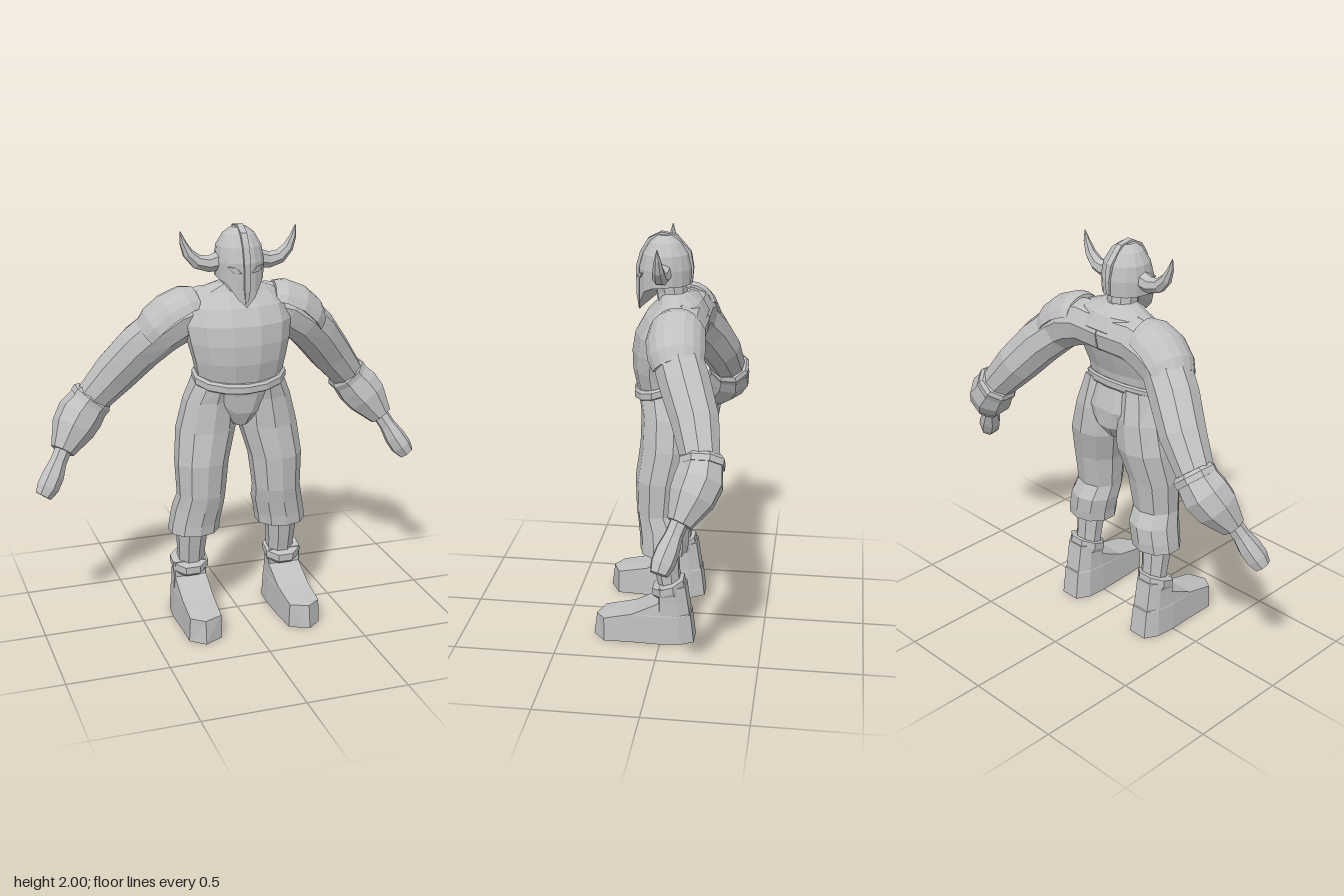
import * as THREE from 'three';

const V = (x, y, z) => new THREE.Vector3(x, y, z);
const grey = new THREE.MeshStandardMaterial({ color: 0xc0c0c0, flatShading: true, side: THREE.DoubleSide });
grey.name = 'plain grey';

// Skin a list of equal-length rings, cap both ends, and face everything outward
function loft(rings, side = 1) {
  const tris = [];
  const n = rings[0].length;
  const centre = r => r.reduce((s, p) => s.add(p), V(0, 0, 0)).divideScalar(n);
  for (let j = 0; j < rings.length - 1; j++) {
    for (let i = 0; i < n; i++) {
      const k = (i + 1) % n, a = rings[j], b = rings[j + 1];
      tris.push([a[i], b[i], b[k]], [a[i], b[k], a[k]]);
    }
  }
  const first = rings[0], last = rings[rings.length - 1];
  const c0 = centre(first), c1 = centre(last);
  for (let i = 0; i < n; i++) {
    const k = (i + 1) % n;
    tris.push([c0, first[i], first[k]], [c1, last[k], last[i]]);
  }
  const volume = tris.reduce((s, [a, b, c]) => s + a.dot(b.clone().cross(c)), 0);
  const flip = volume * side < 0;
  const pos = [];
  for (const [a, b, c] of tris)
    for (const p of flip ? [a, c, b] : [a, b, c]) pos.push(p.x * side, p.y, p.z);
  const g = new THREE.BufferGeometry();
  g.setAttribute('position', new THREE.Float32BufferAttribute(pos, 3));
  g.computeVertexNormals();
  return g;
}

// Horizontal oval section: height, left and right x, front and back z, slope of y along z
function oval([y, x0, x1, zf, zb, slope = 0], n) {
  return Array.from({ length: n }, (_, i) => {
    const a = ((i + 0.5) / n) * Math.PI * 2;
    const dz = Math.sin(a) * (zf - zb) / 2;
    return V((x0 + x1) / 2 + Math.cos(a) * (x1 - x0) / 2, y + slope * dz, (zf + zb) / 2 + dz);
  });
}
const column = (rows, n, side) => loft(rows.map(r => oval(r, n)), side);
const centred = (rows, n) => column(rows.map(([y, w, ...rest]) => [y, -w, w, ...rest]), n);

// Rings square to a path of [x, y, z, radius]; half gives a D section covering the upper side
function limb(path, n, side = 1, ref = V(0, 0, 1), half = 0) {
  const pts = path.map(p => V(p[0], p[1], p[2]));
  return loft(path.map((p, j) => {
    const t = pts[Math.min(j + 1, pts.length - 1)].clone().sub(pts[Math.max(j - 1, 0)]).normalize();
    const u = t.clone().cross(ref).normalize(), v = u.clone().cross(t);
    return Array.from({ length: n }, (_, i) => {
      const a = half ? Math.PI - half + (2 * half * i) / (n - 1) : ((i + 0.5) / n) * Math.PI * 2;
      return pts[j].clone().addScaledVector(u, Math.cos(a) * p[3]).addScaledVector(v, Math.sin(a) * p[3]);
    });
  }), side);
}

// Boot: a pointed plan outline raised to a stepped instep and an ankle shaft
function boot(side) {
  const plan = [[0.02, 0.34], [-0.075, 0.29], [-0.085, 0.14], [-0.09, 0], [-0.085, -0.1], [-0.05, -0.165],
    [0.05, -0.165], [0.085, -0.1], [0.095, 0], [0.09, 0.14], [0.09, 0.28]];
  const ring = (y, zMax, s, lift = 0) => plan.map(([x, z]) => V(
    0.25 + x * s, y + lift * Math.max(0, Math.min(1, (0.32 - z) / 0.32)),
    z > 0 ? Math.min(z, zMax) : z * (1 - y * 0.9)));
  return loft([ring(0, 1, 1), ring(0.118, 0.325, 0.94, 0.03), ring(0.152, 0.14, 0.92),
    ring(0.22, 0.005, 0.9), ring(0.3, 0.005, 0.9)], side);
}

export function createModel() {
  const model = new THREE.Group();
  const add = (name, geometry) => {
    const m = new THREE.Mesh(geometry, grey);
    m.name = name;
    model.add(m);
    return m;
  };

  // Trunk
  add('torso', centred([
    [1.27, 0.215, 0.145, -0.11, -0.3], [1.36, 0.235, 0.168, -0.12, -0.1], [1.44, 0.255, 0.17, -0.145],
    [1.53, 0.27, 0.155, -0.175], [1.61, 0.26, 0.11, -0.195], [1.675, 0.2, 0.045, -0.16],
    [1.715, 0.09, 0.03, -0.1]], 12));
  add('neck', centred([[1.66, 0.085, 0.05, -0.1], [1.72, 0.075, 0.06, -0.09], [1.8, 0.08, 0.08, -0.08]], 10));
  add('belt', centred([
    [1.245, 0.225, 0.155, -0.12, -0.33], [1.255, 0.235, 0.165, -0.13, -0.33],
    [1.285, 0.235, 0.165, -0.13, -0.33], [1.295, 0.222, 0.155, -0.12, -0.33]], 14));
  add('hips', centred([
    [1.02, 0.045, 0.085, -0.1], [1.09, 0.14, 0.116, -0.15], [1.18, 0.232, 0.125, -0.152],
    [1.27, 0.215, 0.138, -0.115, -0.33]], 12));

  // Helmet: the front edge drops to a point below the nose
  const helmetRows = [[0, 0.115, 0.142, -0.11], [1.83, 0.118, 0.142, -0.113], [1.9, 0.108, 0.122, -0.098],
    [1.955, 0.076, 0.088, -0.062], [1.985, 0.035, 0.05, -0.02]];
  add('helmet', loft(helmetRows.map(([y, w, zf, zb]) => Array.from({ length: 16 }, (_, i) => {
    const a = (i / 16) * Math.PI * 2, f = Math.max(0, Math.sin(a));
    return V(Math.cos(a) * w, y || 1.755 - 0.02 * f - 0.115 * f ** 6, (zf + zb) / 2 + Math.sin(a) * (zf - zb) / 2);
  }))));
  add('helmetCrest', limb([
    [0, 1.625, 0.138, 0.006], [0, 1.7, 0.139, 0.018], [0, 1.83, 0.138, 0.022], [0, 1.9, 0.118, 0.022],
    [0, 1.955, 0.085, 0.022], [0, 1.983, 0.03, 0.022], [0, 1.973, -0.03, 0.022], [0, 1.9, -0.094, 0.022],
    [0, 1.83, -0.108, 0.018], [0, 1.76, -0.105, 0.014]], 4, 1, V(1, 0, 0)));

  for (const [side, label] of [[1, 'left'], [-1, 'right']]) {
    const part = (name, geometry) => add(label + name, geometry);

    // Slanted eye plate
    const eyeShape = new THREE.Shape([[-0.034, -0.014], [0.004, -0.012], [0.034, 0.016], [-0.006, 0.012]]
      .map(([x, y]) => new THREE.Vector2(x * side, y)));
    const eye = part('Eye', new THREE.ExtrudeGeometry(eyeShape, { depth: 0.008, bevelEnabled: false }));
    eye.position.set(0.054 * side, 1.8, 0.124);
    eye.rotation.y = 0.48 * side;

    // Horn
    part('Horn', limb([[0.09, 1.828, 0.015, 0.046], [0.15, 1.815, 0.015, 0.04], [0.205, 1.828, 0.015, 0.035],
      [0.248, 1.87, 0.015, 0.027], [0.273, 1.925, 0.015, 0.016], [0.284, 1.975, 0.015, 0.002]], 7, side));

    // Arm running on from the shoulder yoke, then shoulder plate, bracer and hand
    part('Arm', limb([[0, 1.57, -0.09, 0.11], [0.16, 1.575, -0.085, 0.115], [0.27, 1.545, -0.08, 0.125],
      [0.36, 1.485, -0.09, 0.118], [0.45, 1.4, -0.135, 0.118], [0.56, 1.268, -0.195, 0.11],
      [0.68, 1.125, -0.235, 0.088]], 9, side));
    part('ShoulderPlate', limb([[0.19, 1.575, -0.075, 0.118], [0.22, 1.57, -0.072, 0.134],
      [0.29, 1.535, -0.072, 0.142], [0.35, 1.485, -0.085, 0.138], [0.385, 1.447, -0.098, 0.122]], 9, side,
    V(0, 0, 1), 1.3));
    part('BracerRim', limb([[0.66, 1.145, -0.24, 0.094], [0.672, 1.13, -0.24, 0.108],
      [0.692, 1.107, -0.24, 0.106]], 8, side));
    part('Bracer', limb([[0.675, 1.125, -0.24, 0.098], [0.735, 1.055, -0.232, 0.116],
      [0.78, 0.995, -0.205, 0.108], [0.845, 0.9, -0.16, 0.06]], 8, side));
    part('Hand', limb([[0.84, 0.91, -0.16, 0.042], [0.872, 0.855, -0.138, 0.042], [0.905, 0.795, -0.115, 0.055],
      [0.936, 0.745, -0.097, 0.056], [0.963, 0.707, -0.085, 0.042]], 7, side));

    // Trouser leg, calf and boot
    part('TrouserLeg', column([
      [0.47, 0.1, 0.357, 0.108, -0.125], [0.52, 0.095, 0.35, 0.11, -0.13], [0.6, 0.078, 0.335, 0.12, -0.13],
      [0.67, 0.075, 0.318, 0.13, -0.09], [0.84, 0.055, 0.325, 0.135, -0.115], [1.0, 0.01, 0.308, 0.115, -0.155],
      [1.15, 0.005, 0.27, 0.112, -0.148], [1.27, 0.02, 0.222, 0.125, -0.115, -0.33]], 10, side));
    part('Calf', column([[0.24, 0.17, 0.305, 0.01, -0.1], [0.36, 0.165, 0.31, 0.035, -0.09],
      [0.5, 0.15, 0.32, 0.06, -0.085]], 8, side));
    part('Boot', boot(side));
    part('BootCuff', column([[0.25, 0.16, 0.335, 0.03, -0.118, -0.35], [0.27, 0.15, 0.345, 0.05, -0.12, -0.35],
      [0.305, 0.15, 0.345, 0.05, -0.115, -0.35], [0.31, 0.165, 0.33, 0.035, -0.1, -0.35]], 8, side));
  }
  return model;
}
